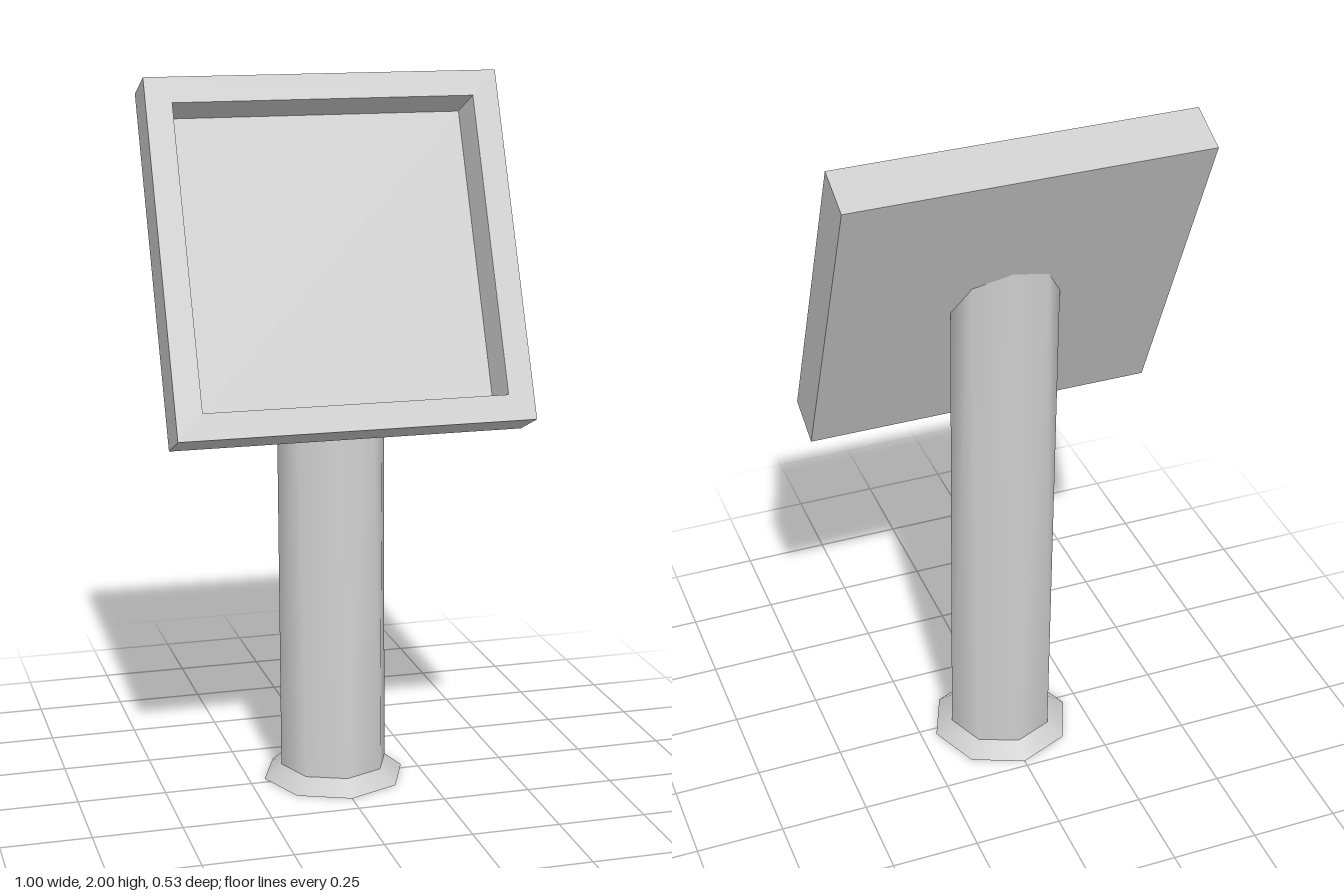
import * as THREE from 'three';
import { mergeVertices } from 'three/addons/utils/BufferGeometryUtils.js';

const smooth = new THREE.MeshStandardMaterial({ color: 0xcccccc });
const flat = new THREE.MeshStandardMaterial({ color: 0xcccccc, flatShading: true });

const TILT = THREE.MathUtils.degToRad(23.6);
const POLE_Z = -0.025, POLE_R = 0.155, FOOT_TOP = 0.04;

function addMesh(group, name, geometry, material) {
  const mesh = new THREE.Mesh(geometry, material);
  mesh.name = name;
  group.add(mesh);
  return mesh;
}

// Square tray: a four-sided lathe with a recessed, slightly tapered front
function panelGeometry() {
  const t = 0.069;
  const profile = [[0, -t], [0.498, -t], [0.498, t], [0.425, t], [0.412, t - 0.1], [0, t - 0.1]]
    .map(([half, y]) => new THREE.Vector2(half * Math.SQRT2, y));
  return new THREE.LatheGeometry(profile, 4, Math.PI / 4);
}

// Eight-sided pole: constant width, tapering in depth, cut on a slant inside the panel
function poleGeometry() {
  const g = new THREE.CylinderGeometry(POLE_R, POLE_R, 1, 8, 1, true);
  const p = g.attributes.position;
  for (let i = 0; i < p.count; i++) {
    const c = p.getZ(i) / POLE_R;
    const z0 = POLE_Z + p.getZ(i);
    const slope = -0.025 - 0.07 * c;
    const y = p.getY(i) < 0
      ? FOOT_TOP
      : (1.4 - 2.29 * (z0 - FOOT_TOP * slope)) / (1 + 2.29 * slope);
    p.setY(i, y);
    p.setZ(i, z0 + slope * (y - FOOT_TOP));
  }
  // Weld the seam so the shading runs smoothly around
  g.deleteAttribute('normal');
  g.deleteAttribute('uv');
  const welded = mergeVertices(g);
  welded.computeVertexNormals();
  return welded;
}

export function createModel() {
  const model = new THREE.Group();
  model.name = 'tiltedPanelOnPole';

  const panel = addMesh(model, 'panel', panelGeometry(), flat);
  panel.rotation.x = Math.PI / 2 - TILT;
  panel.position.set(0, 1.517, 0);

  addMesh(model, 'pole', poleGeometry(), smooth);

  // Flared foot
  const foot = addMesh(model, 'foot',
    new THREE.CylinderGeometry(POLE_R, 0.205, FOOT_TOP, 8), smooth);
  foot.position.set(0, FOOT_TOP / 2, POLE_Z);

  return model;
}
